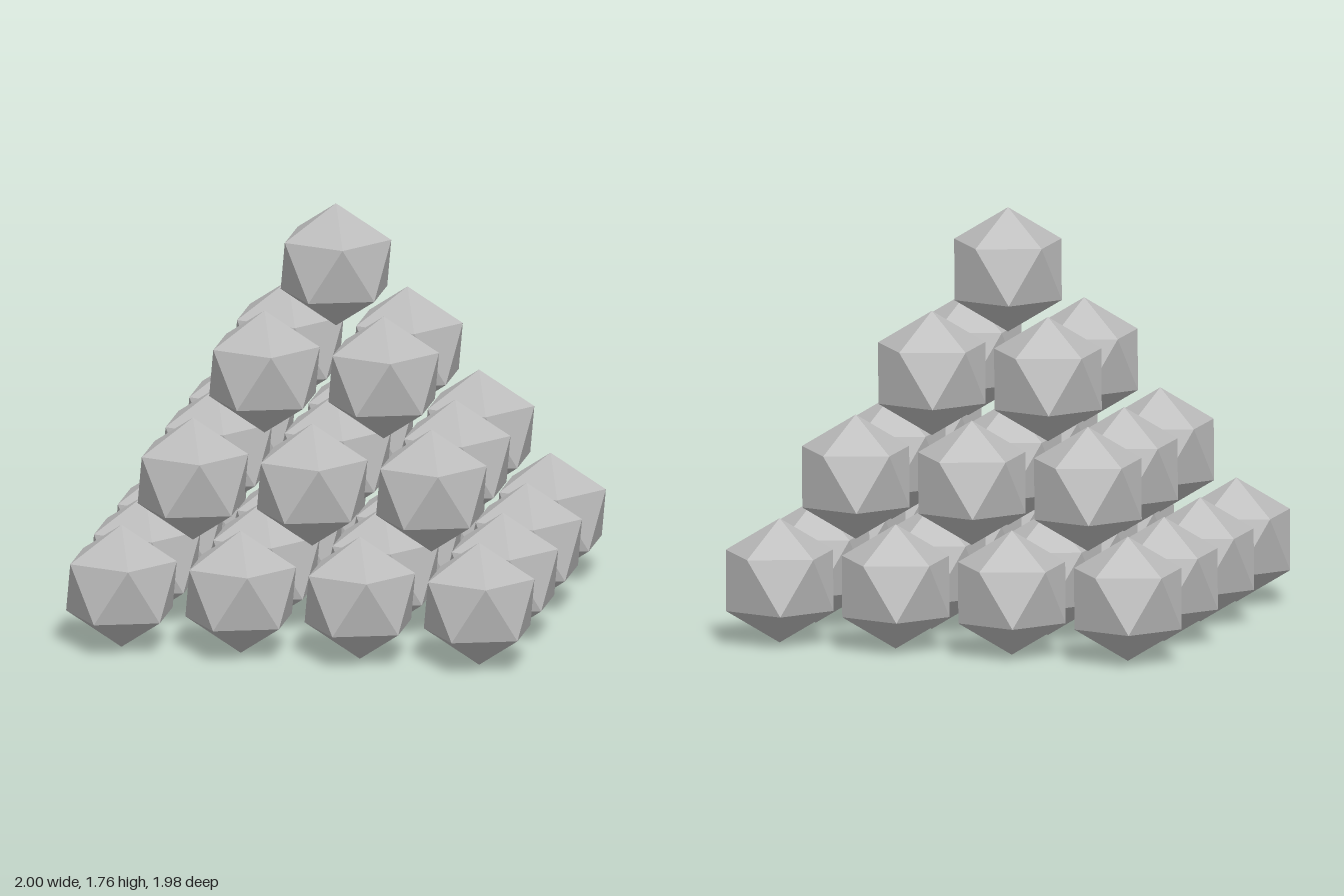
import * as THREE from 'three';

const RADIUS = 0.264;   // centre to corner of one icosahedron
const PITCH = 0.509;    // spacing inside a layer
const RISE = 0.4115;    // height between layers
const LAYERS = 4;

export function createModel() {
  const model = new THREE.Group();
  model.name = 'icosahedronPyramid';

  const grey = new THREE.MeshStandardMaterial({ color: 0xbbbbbb, flatShading: true });
  grey.name = 'light grey';

  // Icosahedron standing on a corner, one upper-ring corner towards +x
  const solid = new THREE.IcosahedronGeometry(RADIUS, 0);
  solid.rotateX(-Math.atan((1 + Math.sqrt(5)) / 2));
  solid.rotateY(Math.PI / 2);

  // Square layers of 16, 9, 4 and 1, each nested over the gaps below
  for (let level = 0; level < LAYERS; level++) {
    const count = LAYERS - level;
    const layer = new THREE.Group();
    layer.name = `layer${level + 1}`;
    layer.position.y = RADIUS + level * RISE;
    for (let row = 0; row < count; row++) {
      for (let column = 0; column < count; column++) {
        const mesh = new THREE.Mesh(solid, grey);
        mesh.name = 'icosahedron';
        mesh.position.set(
          (column - (count - 1) / 2) * PITCH,
          0,
          (row - (count - 1) / 2) * PITCH
        );
        layer.add(mesh);
      }
    }
    model.add(layer);
  }
  return model;
}
